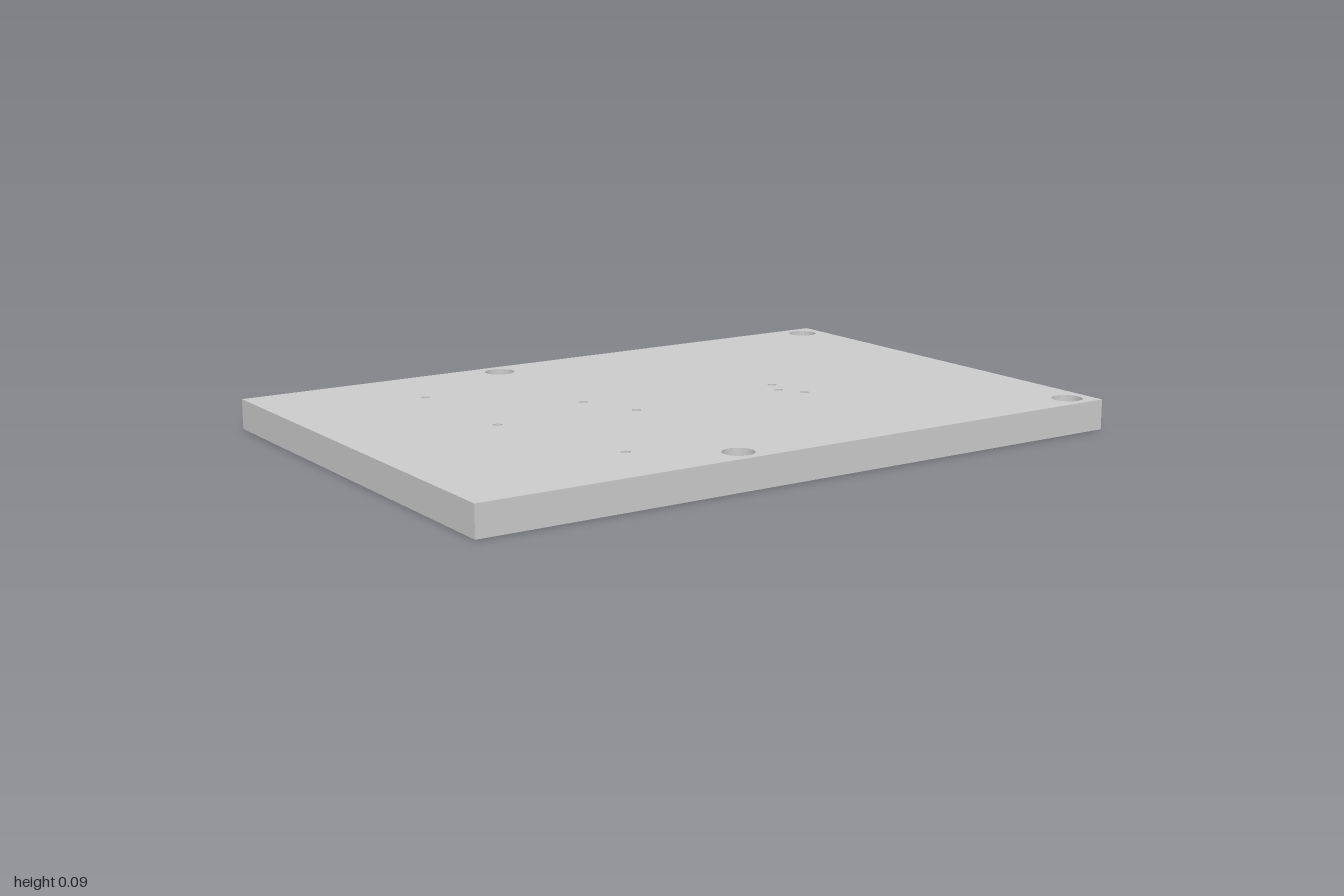
import * as THREE from 'three';
import { toCreasedNormals } from 'three/addons/utils/BufferGeometryUtils.js';

const HALF_WIDTH = 1, HALF_DEPTH = 0.677, THICKNESS = 0.086;

// Hole centres as [x, z]
const mountingHoles = [[-0.21, -0.61], [0.93, -0.61], [-0.21, 0.61], [0.93, 0.61]];
const pilotHoles = [
  [-0.562, -0.41], [-0.225, -0.107], [-0.562, 0.005], [-0.157, 0.059],
  [-0.445, 0.452], [0.352, -0.003], [0.325, 0.064], [0.368, 0.131],
];

export function createModel() {
  const group = new THREE.Group();
  group.name = 'drilledPlate';

  // Rectangular outline, drawn in plan with shape y = -z
  const outline = new THREE.Shape([
    new THREE.Vector2(-HALF_WIDTH, -HALF_DEPTH),
    new THREE.Vector2(HALF_WIDTH, -HALF_DEPTH),
    new THREE.Vector2(HALF_WIDTH, HALF_DEPTH),
    new THREE.Vector2(-HALF_WIDTH, HALF_DEPTH),
  ]);

  // Through holes
  const drill = (centres, radius) => {
    for (const [x, z] of centres) {
      outline.holes.push(new THREE.Path().absarc(x, -z, radius, 0, Math.PI * 2, true));
    }
  };
  drill(mountingHoles, 0.043);
  drill(pilotHoles, 0.013);

  // Extrude and lay flat; the hole walls stay smooth, the edges sharp
  const geometry = new THREE.ExtrudeGeometry(outline, {
    depth: THICKNESS, bevelEnabled: false, curveSegments: 32,
  });
  geometry.rotateX(-Math.PI / 2);

  const plate = new THREE.Mesh(
    toCreasedNormals(geometry, Math.PI / 6),
    new THREE.MeshStandardMaterial({ color: 0xcccccc }),
  );
  plate.name = 'plate';
  group.add(plate);
  return group;
}
